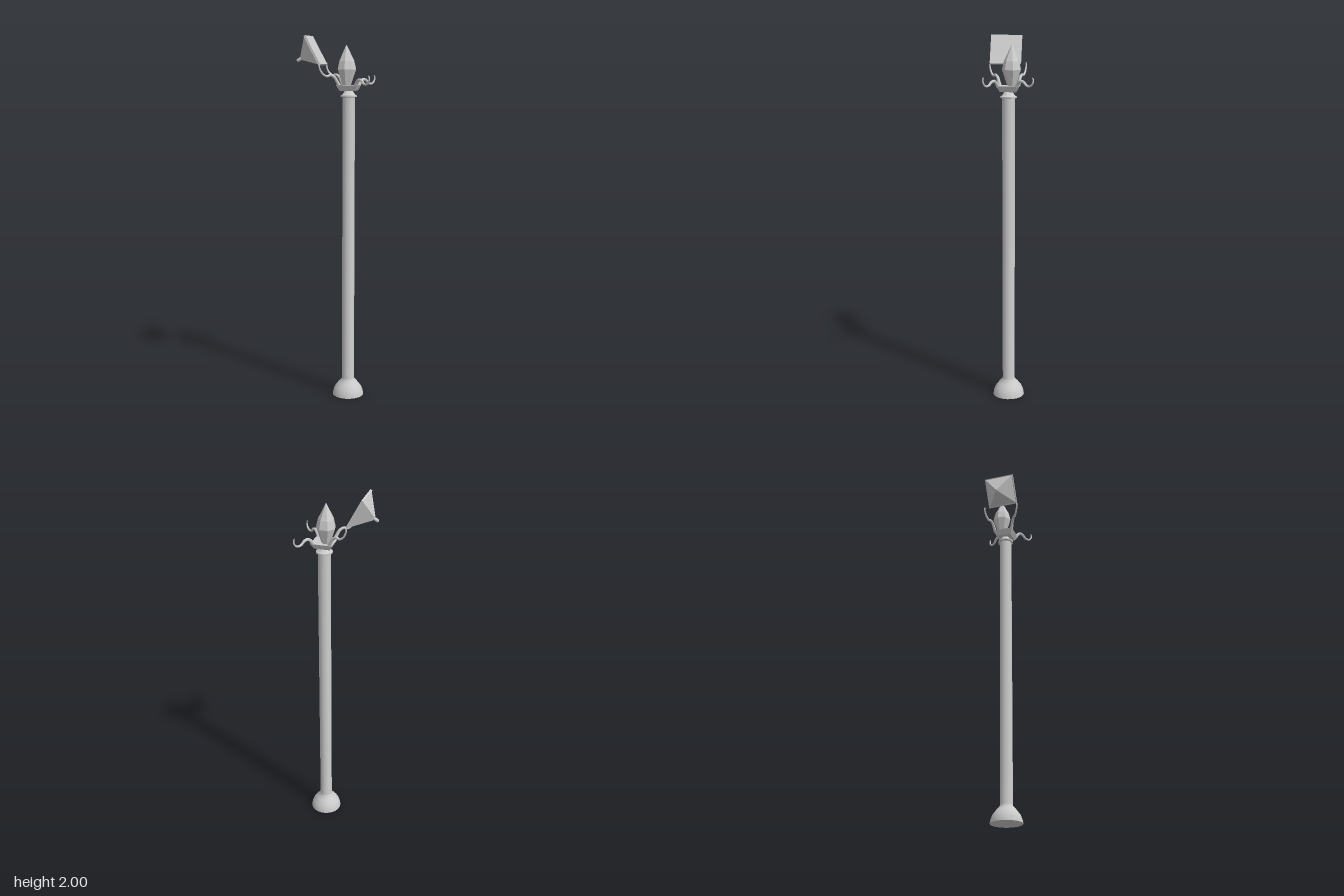
import * as THREE from 'three';
import { toCreasedNormals } from 'three/addons/utils/BufferGeometryUtils.js';

const CX = 0.073, CZ = 0.008; // axis of the post

export function createModel() {
  const group = new THREE.Group();
  const smooth = new THREE.MeshStandardMaterial({ color: 0xcccccc });
  const flat = new THREE.MeshStandardMaterial({ color: 0xcccccc, flatShading: true });
  const add = (name, geometry, material, x = 0, y = 0, z = 0, parent = group) => {
    const mesh = new THREE.Mesh(geometry, material);
    mesh.name = name;
    mesh.position.set(x, y, z);
    parent.add(mesh);
    return mesh;
  };
  const lathe = (points, sides) =>
    new THREE.LatheGeometry(points.map(([r, y]) => new THREE.Vector2(r, y)), sides);

  // Post with flared foot, collar ring and neck
  const post = lathe([
    [0, 0], [0.087, 0], [0.084, 0.02], [0.074, 0.045], [0.055, 0.07], [0.036, 0.09], [0.034, 0.1],
    [0.034, 1.675], [0.044, 1.677], [0.044, 1.685], [0.034, 1.69], [0.02, 1.712], [0, 1.715],
  ], 20);
  add('post', toCreasedNormals(post, 0.7), smooth, CX, 0, CZ);

  // Square dish, narrower underneath
  const dish = new THREE.CylinderGeometry(0.058 * Math.SQRT2, 0.042 * Math.SQRT2, 0.03, 4);
  dish.rotateY(Math.PI / 4);
  add('dish', dish, flat, CX, 1.725, CZ);

  // Faceted crystal standing in the dish
  const crystal = lathe([[0, 0], [0.024, 0], [0.052, 0.085], [0.042, 0.13], [0, 0.217]], 7);
  add('crystal', crystal, flat, 0.057, 1.738, -0.008);

  // Curling arms: [root x, root z, tip x, tip z, lift of the tip]
  const arms = [
    [0.122, -0.04, 0.19, -0.131, 0],
    [0.122, 0.06, 0.206, 0.128, 0],
    [0.028, -0.043, -0.068, -0.075, 0.07],
    [0.028, 0.06, -0.062, 0.122, 0.065],
  ];
  const profile = [
    [-0.05, 1.733], [0.08, 1.755], [0.22, 1.768], [0.42, 1.765],
    [0.6, 1.748], [0.82, 1.746], [0.97, 1.762], [1, 1.778], [0.95, 1.793],
  ];
  for (const [x0, z0, x1, z1, lift] of arms) {
    const curve = new THREE.CatmullRomCurve3(profile.map(([t, y]) => new THREE.Vector3(
      THREE.MathUtils.lerp(x0, x1, t), y + lift * Math.max(t, 0), THREE.MathUtils.lerp(z0, z1, t))));
    add('curledArm', taperedTube(curve, 0.01, 0.0035), smooth);
  }

  // Tilted shade: square plate, pyramid behind it and a rounded finial
  const shade = new THREE.Group();
  shade.name = 'tiltedShade';
  shade.position.set(-0.097, 1.925, 0.038);
  shade.rotation.z = Math.PI / 2 + 0.49; // local +y points out to the pyramid's tip
  group.add(shade);
  add('shadePlate', new THREE.BoxGeometry(0.17, 0.012, 0.17), flat, 0, 0.006, 0, shade);
  const pyramid = new THREE.CylinderGeometry(0.009 * Math.SQRT2, 0.08 * Math.SQRT2, 0.083, 4);
  pyramid.rotateY(Math.PI / 4);
  add('shadePyramid', pyramid, flat, 0, 0.0535, 0, shade);
  add('finial', new THREE.CapsuleGeometry(0.009, 0.022, 4, 10), smooth, 0, 0.104, 0, shade);

  return group;
}

// Tube whose radius shrinks from r0 to r1, pinched shut at both ends
function taperedTube(curve, r0, r1) {
  const segments = 36, sides = 8;
  const tube = new THREE.TubeGeometry(curve, segments, 1, sides);
  const pos = tube.attributes.position;
  const p = new THREE.Vector3();
  for (let i = 0; i <= segments; i++) {
    const center = curve.getPointAt(i / segments);
    const end = i === 0 || i === segments;
    const r = end ? 0.0003 : THREE.MathUtils.lerp(r0, r1, i / segments);
    for (let j = 0; j <= sides; j++) {
      const k = i * (sides + 1) + j;
      p.fromBufferAttribute(pos, k).sub(center).multiplyScalar(r).add(center);
      pos.setXYZ(k, p.x, p.y, p.z);
    }
  }
  return tube;
}
